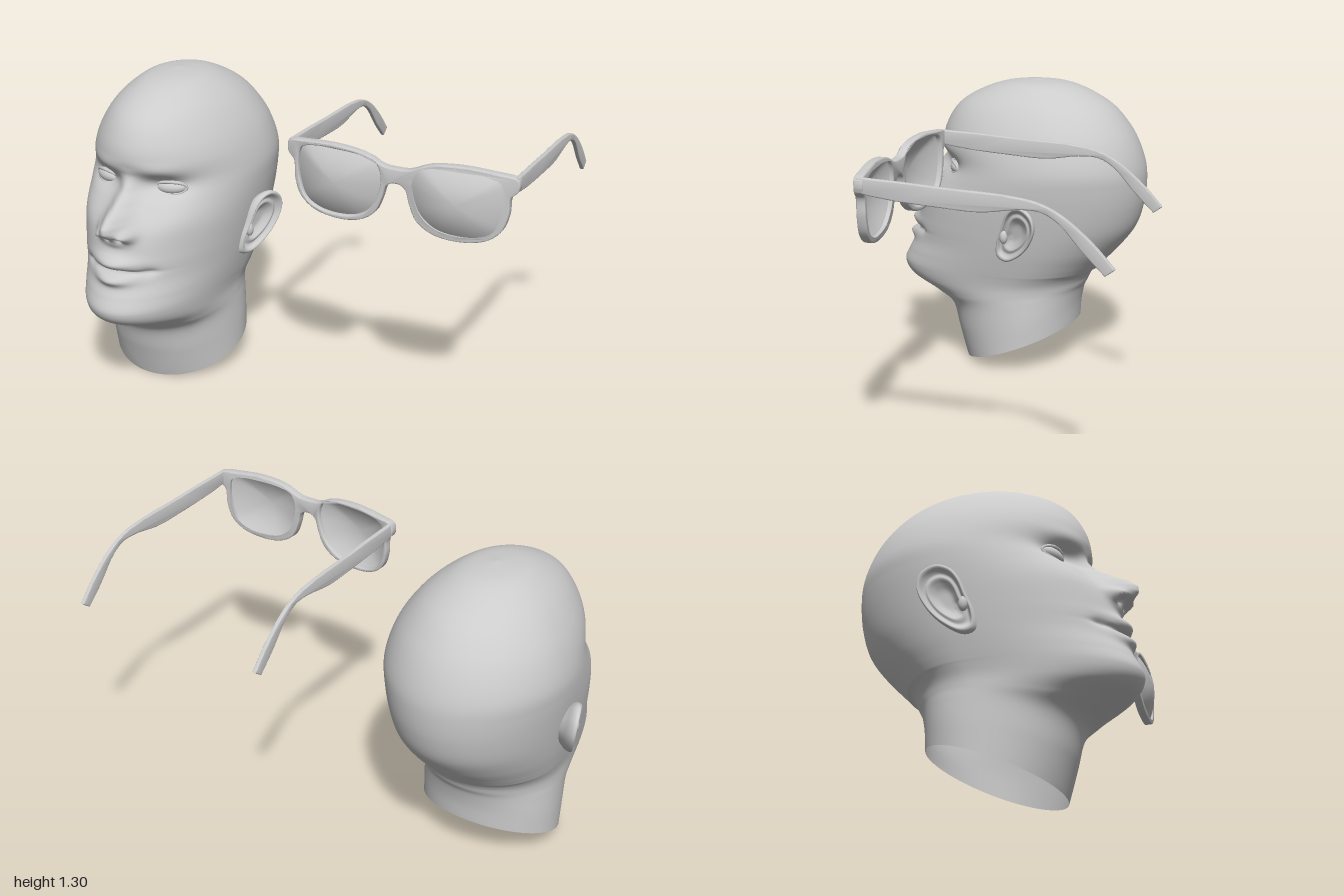
import * as THREE from 'three';
import { toCreasedNormals } from 'three/addons/utils/BufferGeometryUtils.js';

const grey = new THREE.MeshStandardMaterial({ color: 0xcccccc, side: THREE.DoubleSide });

function add(parent, name, geometry, x = 0, y = 0, z = 0) {
  const mesh = new THREE.Mesh(geometry, grey);
  mesh.name = name;
  mesh.position.set(x, y, z);
  parent.add(mesh);
  return mesh;
}

// Skin a list of closed rings (arrays of [x, y, z]) with smooth normals
function loft(rings) {
  const n = rings[0].length, index = [];
  for (let i = 0; i < rings.length - 1; i++) {
    for (let j = 0; j < n; j++) {
      const a = i * n + j, b = i * n + (j + 1) % n;
      index.push(a, b, a + n, b, b + n, a + n);
    }
  }
  const geo = new THREE.BufferGeometry();
  geo.setAttribute('position', new THREE.Float32BufferAttribute(rings.flat(2), 3));
  geo.setIndex(index);
  geo.computeVertexNormals();
  return geo;
}

function smooth(points, count, closed = true) {
  const curve = new THREE.CatmullRomCurve3(points.map(([x, y]) => new THREE.Vector3(x, y, 0)), closed, 'centripetal');
  const list = curve.getPoints(count).map(p => [p.x, p.y]);
  if (closed) list.pop();
  return list;
}

const bump = (d, r) => Math.exp(-(d * d) / (r * r));

function lerpTable(table, y) {
  if (y <= table[0][0]) return table[0][1];
  for (let i = 1; i < table.length; i++) {
    const [y0, a] = table[i - 1], [y1, b] = table[i];
    if (y < y1) return a + (b - a) * THREE.MathUtils.smoothstep(y, y0, y1) * 0.4 + (b - a) * 0.6 * (y - y0) / (y1 - y0);
  }
  return table[table.length - 1][1];
}

// Head sections: height, front z, back z, half width, z of widest point
const sections = [
  [0, 0.335, -0.184, 0.295, 0.07], [0.14, 0.375, -0.19, 0.294, 0.07], [0.26, 0.413, -0.205, 0.29, 0.08],
  [0.32, 0.5, -0.222, 0.288, 0.09], [0.375, 0.61, -0.235, 0.289, 0.08], [0.43, 0.645, -0.258, 0.298, 0.06],
  [0.49, 0.622, -0.31, 0.312, 0.04], [0.56, 0.585, -0.375, 0.327, 0.02], [0.65, 0.57, -0.44, 0.342, 0],
  [0.75, 0.54, -0.472, 0.356, -0.02], [0.85, 0.465, -0.482, 0.366, -0.04], [0.93, 0.425, -0.475, 0.365, -0.06],
  [1.02, 0.445, -0.445, 0.342, -0.06], [1.1, 0.425, -0.4, 0.305, -0.05], [1.18, 0.37, -0.33, 0.248, -0.03],
  [1.24, 0.275, -0.235, 0.182, -0.01], [1.28, 0.16, -0.13, 0.11, 0.01], [1.296, 0.01, 0.01, 0, 0.01],
];
const noseHeight = [[0.69, 0], [0.72, 0.02], [0.738, 0.04], [0.757, 0.085], [0.778, 0.117], [0.8, 0.132],
  [0.826, 0.124], [0.86, 0.083], [0.906, 0.042], [0.965, 0.006], [1.0, 0]];
const noseWidth = [[0.7, 0.055], [0.79, 0.058], [0.86, 0.047], [0.93, 0.04]];
// Mirrored face features: x, y, x radius, y radius, depth
const features = [
  [0.135, 0.912, 0.085, 0.042, -0.04],  // eye socket
  [0.13, 0.985, 0.09, 0.03, 0.01],      // brow
  [0.21, 0.8, 0.08, 0.06, 0.012],       // cheekbone
  [0.062, 0.752, 0.027, 0.026, 0.042],  // nostril wing
  [0.03, 0.737, 0.016, 0.01, -0.02],    // nostril
  [0.135, 0.597, 0.03, 0.02, -0.012],   // mouth corner
];

function faceRelief(x, y) {
  let d = lerpTable(noseHeight, y) * bump(x, lerpTable(noseWidth, y));
  for (const [fx, fy, rx, ry, depth] of features) d += depth * bump(Math.abs(x) - fx, rx) * bump(y - fy, ry);
  d += 0.034 * bump(x, 0.088) * bump(y - 0.633, 0.026);  // upper lip
  d += 0.036 * bump(x, 0.08) * bump(y - 0.565, 0.024);   // lower lip
  d -= 0.026 * bump(x, 0.115) * bump(y - 0.597, 0.009);  // mouth line
  return d;
}

function headGeometry() {
  const outer = new THREE.CatmullRomCurve3(sections.map(s => new THREE.Vector3(s[1], s[0], s[2])), false, 'catmullrom');
  const inner = new THREE.CatmullRomCurve3(sections.map(s => new THREE.Vector3(s[3], s[0], s[4])), false, 'catmullrom');
  const rows = 238, cols = 144, rings = [];
  for (let i = 0; i <= rows; i++) {
    const { x: front, y: v, z: back } = outer.getPoint(i / rows);
    const { x: width, z: mid } = inner.getPoint(i / rows);
    const tilt = 0.385 * Math.max(0, 1 - v / 0.45);   // slanted neck cut
    const ring = [];
    for (let j = 0; j < cols; j++) {
      const t = j / cols * Math.PI * 2;
      const a = t - 0.5 * Math.sin(t);               // more columns on the face
      const c = Math.cos(a), x = width * Math.sin(a);
      let z = mid + c * (c > 0 ? front - mid : mid - back);
      const y = v + tilt * Math.max(0, 0.335 - z);
      if (c > 0) z += faceRelief(x, v) * Math.min(1, c * 3);
      ring.push([x, y, z]);
    }
    rings.push(ring);
  }
  return loft(rings);
}

// Ear in side view: offsets in z and y from its centre
const earOutline = smooth([[-0.024, 0.128], [-0.076, 0.094], [-0.09, 0.03], [-0.06, -0.045], [-0.007, -0.104],
  [0.062, -0.139], [0.104, -0.12], [0.104, -0.06], [0.08, 0.007], [0.055, 0.076], [0.024, 0.115]].reverse(), 64);

const earPoint = (dz, dy, h) => [0.376 - 0.4 * dz + 0.12 * dy + h, dy, dz];

function earGeometry() {
  // scale and height from the hidden root, over the rim, into the bowl
  const profile = smooth([[0.6, -0.07], [0.78, -0.04], [0.97, -0.012], [1, 0.002], [0.96, 0.014], [0.88, 0.015],
    [0.8, 0.004], [0.72, -0.002], [0.6, 0.002], [0.48, -0.008], [0.3, -0.02], [0.001, -0.022]], 40, false);
  return loft(profile.map(([s, h]) => earOutline.map(([dz, dy]) => earPoint(dz * s, dy * s, h))));
}

function buildHead() {
  const head = new THREE.Group();
  head.name = 'head';
  head.position.x = -0.57;
  add(head, 'headAndNeck', headGeometry());
  for (const side of [-1, 1]) {
    const ear = add(head, 'ear', earGeometry(), 0, 0.674, 0.01);
    ear.scale.x = side;
    // small flap in front of the ear opening
    const flap = add(head, 'earFlap', new THREE.SphereGeometry(1, 16, 12), side * 0.352, 0.65, 0.075);
    flap.scale.set(0.018, 0.03, 0.018);

    const eye = new THREE.Group();
    eye.name = 'eye';
    eye.position.set(side * 0.147, 0.907, 0.343);
    eye.rotation.y = side * 0.32;
    head.add(eye);
    add(eye, 'eyeball', new THREE.SphereGeometry(1, 32, 20)).scale.set(0.064, 0.031, 0.036);
    const rim = [];
    for (let i = 0; i < 24; i++) {
      const a = i / 24 * Math.PI * 2, s = Math.sin(a);
      rim.push(new THREE.Vector3(0.063 * Math.cos(a), s * (s > 0 ? 0.028 : 0.024), 0.006 + 0.02 * s * s));
    }
    add(eye, 'eyelids', new THREE.TubeGeometry(new THREE.CatmullRomCurve3(rim, true), 64, 0.0065, 8, true));
  }
  return head;
}

// Half of the spectacle front, and one lens opening
const frameHalf = [[0, 1.14], [0.05, 1.143], [0.13, 1.175], [0.25, 1.188], [0.38, 1.18], [0.46, 1.169], [0.467, 1.16],
  [0.466, 1.12], [0.44, 1.09], [0.435, 1.02], [0.41, 0.95], [0.35, 0.905], [0.25, 0.888], [0.15, 0.902],
  [0.085, 0.945], [0.055, 1.01], [0.04, 1.06], [0.02, 1.077], [0, 1.08]];
const lensOutline = smooth([[0.25, 1.172], [0.35, 1.167], [0.405, 1.148], [0.42, 1.09], [0.413, 1.01], [0.385, 0.945],
  [0.33, 0.914], [0.25, 0.905], [0.16, 0.92], [0.1, 0.965], [0.07, 1.03], [0.062, 1.1], [0.085, 1.15], [0.15, 1.168]], 72);
const wrap = x => -0.16 * x * x;
const vectors = list => list.map(([x, y]) => new THREE.Vector2(x, y));
const bevel = { bevelEnabled: true, bevelThickness: 0.005, bevelSize: 0.005, bevelOffset: -0.005, bevelSegments: 3 };

function buildGlasses() {
  const glasses = new THREE.Group();
  glasses.name = 'glasses';
  glasses.position.x = 0.533;

  const outline = [...frameHalf, ...frameHalf.slice(1, -1).reverse().map(([x, y]) => [-x, y])];
  const shape = new THREE.Shape(vectors(smooth(outline, 180)));
  for (const side of [-1, 1]) shape.holes.push(new THREE.Path(vectors(lensOutline.map(([x, y]) => [side * x, y]))));
  const frame = new THREE.ExtrudeGeometry(shape, { depth: 0.026, ...bevel });
  frame.translate(0, 0, 0.274);
  const pos = frame.attributes.position;
  for (let i = 0; i < pos.count; i++) pos.setZ(i, pos.getZ(i) + wrap(pos.getX(i)));
  add(glasses, 'frameFront', toCreasedNormals(frame, 0.7));

  // Domed lens
  const lensRings = [];
  for (let i = 0; i <= 12; i++) {
    const s = Math.max(i / 12, 0.001);
    lensRings.push(lensOutline.map(([x, y]) => {
      const px = 0.245 + (x - 0.245) * s * 1.01, py = 1.045 + (y - 1.045) * s * 1.01;
      return [px, py, 0.287 + wrap(px) + 0.046 * (1 - s * s)];
    }));
  }
  // Side arm drawn in side view (z, y), hooked down at the tip
  const top = smooth([[0.283, 1.172], [0.1, 1.163], [-0.05, 1.153], [-0.257, 1.142], [-0.378, 1.122], [-0.465, 1.08],
    [-0.57, 0.993], [-0.648, 0.908]], 40, false);
  const bottom = smooth([[-0.612, 0.882], [-0.535, 0.958], [-0.448, 1.055], [-0.385, 1.09], [-0.309, 1.094], [-0.17, 1.076],
    [-0.014, 1.083], [0.16, 1.097], [0.255, 1.111], [0.283, 1.118]], 40, false);
  const arm = new THREE.ExtrudeGeometry(new THREE.Shape(vectors([...top, ...bottom])), { depth: 0.008, ...bevel });
  arm.translate(0, 0, -0.004);
  arm.rotateY(-Math.PI / 2);
  const armSmooth = toCreasedNormals(arm, 0.7);

  for (const side of [-1, 1]) {
    add(glasses, 'lens', loft(lensRings)).scale.x = side;
    add(glasses, 'sideArm', armSmooth, side * 0.456, 0, -0.02);
  }
  return glasses;
}

export function createModel() {
  const model = new THREE.Group();
  model.name = 'headAndGlasses';
  model.add(buildHead(), buildGlasses());
  return model;
}
